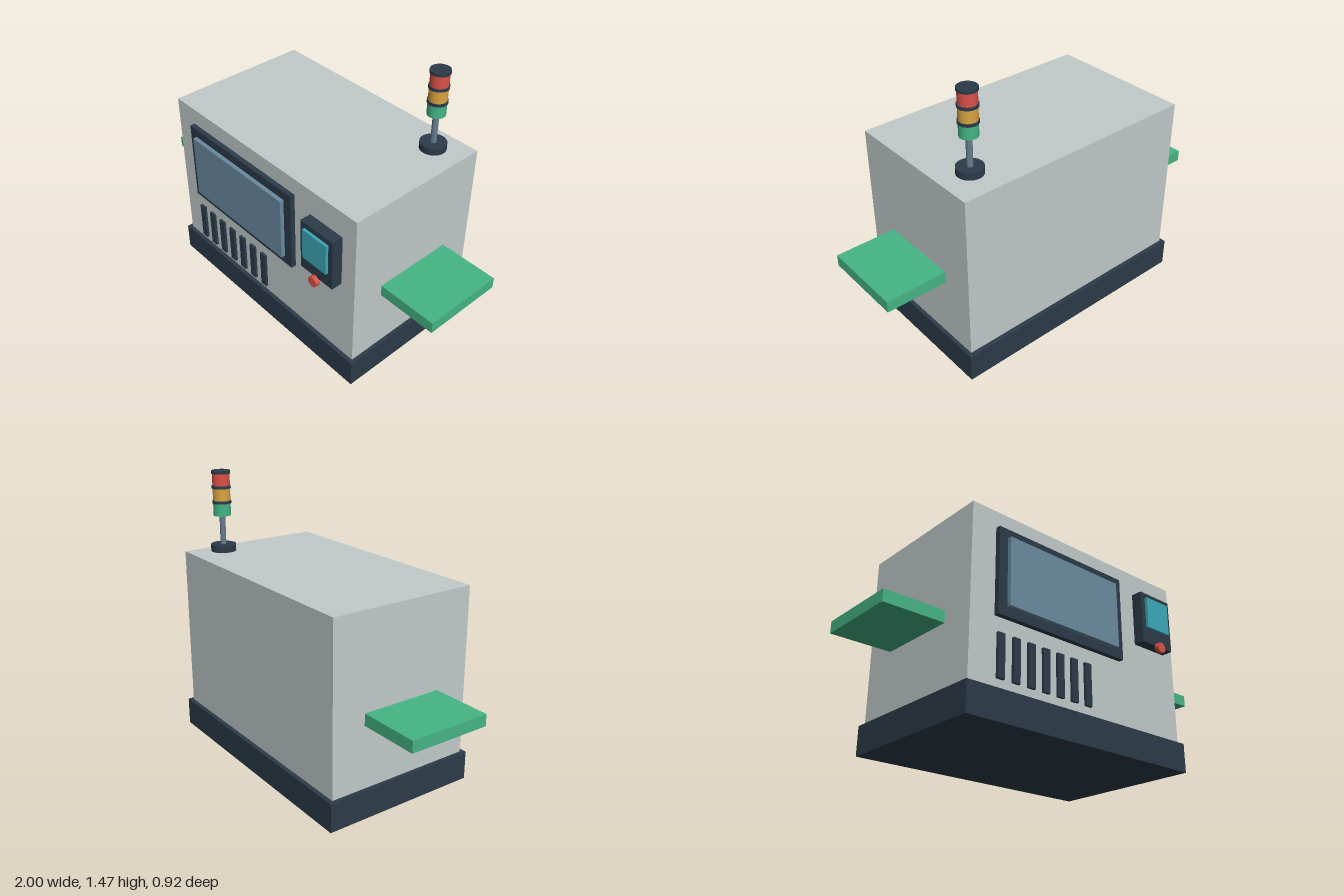
import * as THREE from 'three';

const mat = (color) => new THREE.MeshStandardMaterial({ color });

export function createModel() {
  const model = new THREE.Group();
  model.name = 'processingMachine';

  const body = mat(0xc2caca);
  const dark = mat(0x2c3b49);
  const glass = mat(0x6a8ba0);
  const steel = mat(0x667d8e);
  const cyan = mat(0x3ca8b8);
  const green = mat(0x45b585);
  const amber = mat(0xd9a441);
  const red = mat(0xdb5248);

  // Box given by its limits on each axis
  const box = (name, material, [x0, x1], [y0, y1], [z0, z1]) => {
    const mesh = new THREE.Mesh(new THREE.BoxGeometry(x1 - x0, y1 - y0, z1 - z0), material);
    mesh.position.set((x0 + x1) / 2, (y0 + y1) / 2, (z0 + z1) / 2);
    mesh.name = name;
    model.add(mesh);
    return mesh;
  };

  // Cabinet on its plinth
  box('plinth', dark, [-0.697, 0.697], [0, 0.15], [-0.456, 0.39]);
  box('cabinet', body, [-0.677, 0.677], [0.15, 1.03], [-0.433, 0.368]);

  // Conveyor shelves on both sides
  for (const [name, s] of [['leftShelf', 1], ['rightShelf', -1]]) {
    box(name, green, s > 0 ? [0.66, 1] : [-1, -0.66], [0.476, 0.537], [-0.253, 0.187]);
  }

  // Viewing window
  box('windowFrame', dark, [-0.54, 0.262], [0.492, 0.94], [0.368, 0.395]);
  box('windowGlass', glass, [-0.49, 0.212], [0.54, 0.893], [0.39, 0.417]);

  // Control panel with its display and stop button
  box('controlBox', dark, [0.38, 0.597], [0.617, 0.9], [0.375, 0.435]);
  box('display', cyan, [0.408, 0.569], [0.7, 0.87], [0.43, 0.45]);
  const button = new THREE.Mesh(new THREE.CylinderGeometry(0.028, 0.028, 0.023, 24), red);
  button.rotation.x = Math.PI / 2;
  button.position.set(0.488, 0.603, 0.45);
  button.name = 'stopButton';
  model.add(button);

  // Row of vent slats
  for (let i = 0; i < 7; i++) {
    const x = -0.513 + i * 0.0885;
    box(`vent${i + 1}`, dark, [x - 0.02, x + 0.02], [0.195, 0.41], [0.376, 0.39]);
  }

  // Signal tower: name, material, radius, bottom, top
  const tower = new THREE.Group();
  tower.name = 'signalTower';
  tower.position.set(0.528, 0, -0.278);
  const stack = [
    ['towerBase', dark, 0.067, 1.045, 1.081],
    ['towerPole', steel, 0.0155, 1.06, 1.24],
    ['greenLamp', green, 0.046, 1.237, 1.303],
    ['lowerRing', dark, 0.05, 1.302, 1.317],
    ['amberLamp', amber, 0.046, 1.316, 1.381],
    ['upperRing', dark, 0.05, 1.381, 1.396],
    ['redLamp', red, 0.046, 1.395, 1.459],
    ['towerCap', dark, 0.05, 1.459, 1.474],
  ];
  for (const [name, material, r, y0, y1] of stack) {
    const mesh = new THREE.Mesh(new THREE.CylinderGeometry(r, r, y1 - y0, 32), material);
    mesh.position.y = (y0 + y1) / 2;
    mesh.name = name;
    tower.add(mesh);
  }
  model.add(tower);

  return model;
}
